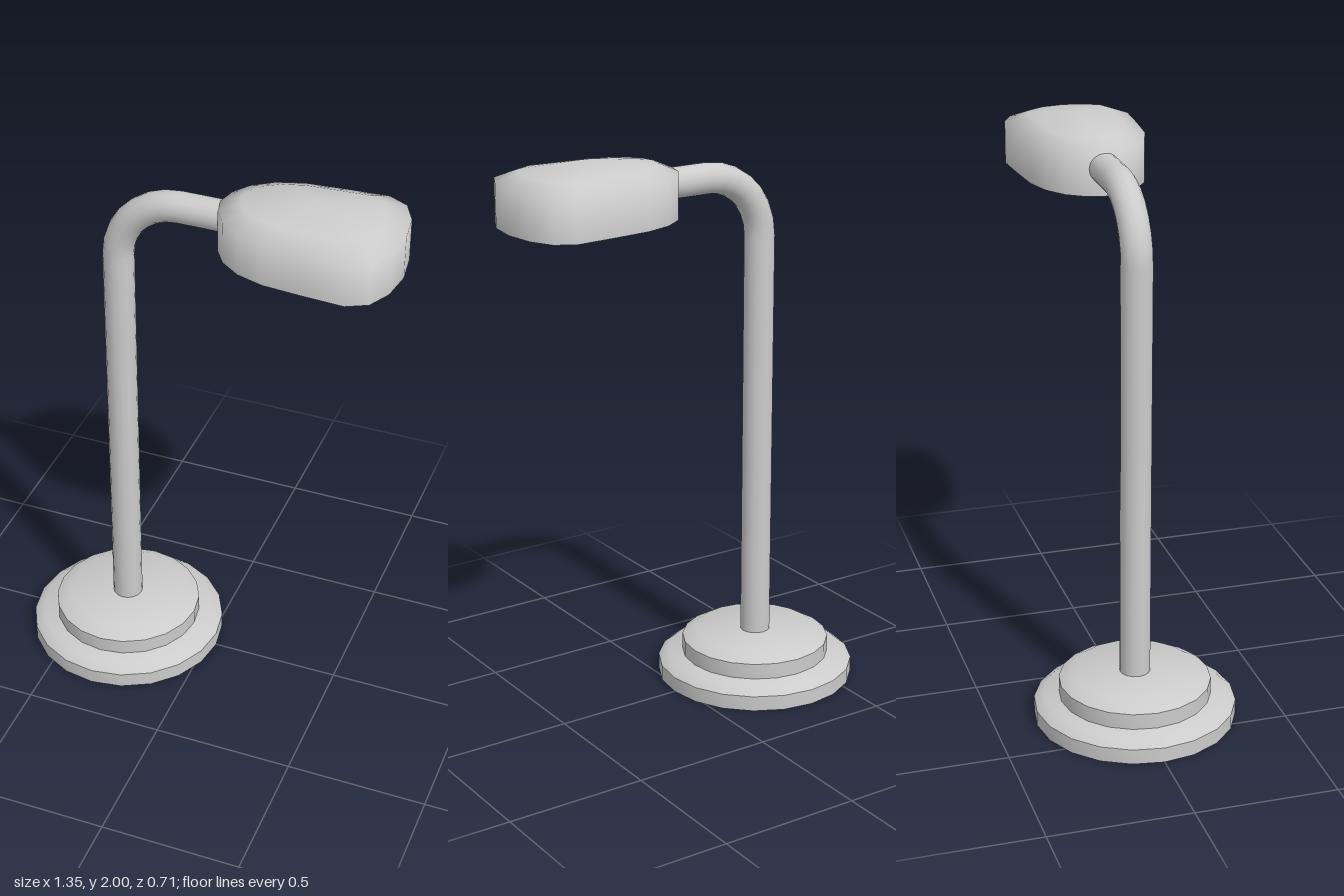
import * as THREE from 'three';
import { toCreasedNormals } from 'three/addons/utils/BufferGeometryUtils.js';

const POLE_X = -0.32;
const ARM_Y = 1.88;

const material = new THREE.MeshStandardMaterial({ color: 0xcccccc });

function part(name, geometry) {
  const mesh = new THREE.Mesh(geometry, material);
  mesh.name = name;
  return mesh;
}

// Turned disc with a chamfered top edge
function disc(radius, y0, y1, y2, topRadius) {
  const profile = [[0, y0], [radius, y0], [radius, y1], [topRadius, y2], [0, y2]];
  const geometry = new THREE.LatheGeometry(profile.map(([r, y]) => new THREE.Vector2(r, y)), 20);
  geometry.translate(POLE_X, 0, 0);
  return toCreasedNormals(geometry, 0.7);
}

// Straight pole, quarter-circle bend and short arm as one path with exact stations
class PolePath extends THREE.Curve {
  constructor(bend, steps, endX) {
    super();
    this.stations = [[POLE_X, 0.15, Math.PI / 2]];
    for (let i = 0; i <= steps; i++) {
      const a = (i / steps) * Math.PI / 2;
      this.stations.push([
        POLE_X + bend * (1 - Math.cos(a)),
        ARM_Y - bend * (1 - Math.sin(a)),
        Math.PI / 2 - a,
      ]);
    }
    this.stations.push([endX, ARM_Y, 0]);
  }
  station(u) {
    return this.stations[Math.round(u * (this.stations.length - 1))];
  }
  getPointAt(u, target = new THREE.Vector3()) {
    const [x, y] = this.station(u);
    return target.set(x, y, 0);
  }
  getTangentAt(u, target = new THREE.Vector3()) {
    const a = this.station(u)[2];
    return target.set(Math.cos(a), Math.sin(a), 0);
  }
}

// Plan outline of the lamp head: half of it as [x, z], mirrored across z
const half = [
  [0.67, 0], [0.655, 0.11], [0.615, 0.19], [0.545, 0.226], [0.4, 0.217], [0.265, 0.205],
  [0.17, 0.175], [0.1, 0.125], [0.06, 0.065], [0.045, 0],
];
const outline = [...half, ...half.slice(1, -1).reverse().map(([x, z]) => [x, -z])];

// Skin through scaled copies of the outline, listed from the underside to the top
function loft(rings, crease) {
  const n = outline.length;
  const positions = [];
  const indices = [];
  for (const { y, cx = 0.36, sx = 1, sz = sx } of rings) {
    for (const [x, z] of outline) positions.push(cx + (x - cx) * sx, y, z * sz);
  }
  for (let r = 0; r < rings.length - 1; r++) {
    for (let i = 0; i < n; i++) {
      const a = r * n + i;
      const b = r * n + (i + 1) % n;
      if (rings[r].sx !== 0) indices.push(a, a + n, b);
      if (rings[r + 1].sx !== 0) indices.push(b, a + n, b + n);
    }
  }
  const geometry = new THREE.BufferGeometry();
  geometry.setAttribute('position', new THREE.Float32BufferAttribute(positions, 3));
  geometry.setIndex(indices);
  return toCreasedNormals(geometry, crease);
}

export function createModel() {
  const model = new THREE.Group();
  model.name = 'streetLamp';

  // Stepped round foot
  model.add(part('lowerBase', disc(0.355, 0, 0.055, 0.083, 0.32)));
  model.add(part('upperBase', disc(0.267, 0.08, 0.14, 0.168, 0.218)));

  // Bent pole
  const path = new PolePath(0.225, 7, 0.12);
  model.add(part('pole', new THREE.TubeGeometry(path, path.stations.length - 1, 0.054, 16)));

  // Lamp head with a domed top and a recess in the underside
  const head = new THREE.Group();
  head.name = 'lampHead';
  const opening = { cx: 0.41, sx: 0.69 };
  head.add(part('housing', loft([
    { y: 1.83, ...opening },
    { y: 1.785, ...opening },
    { y: 1.785 },
    { y: 1.935 },
    { y: 1.967, sx: 0.77, sz: 0.68 },
    { y: 2, sx: 0 },
  ], 1.4)));
  head.add(part('lightPanel', loft([{ y: 1.83, cx: 0.41, sx: 0 }, { y: 1.83, ...opening }], 0.5)));
  model.add(head);

  return model;
}
